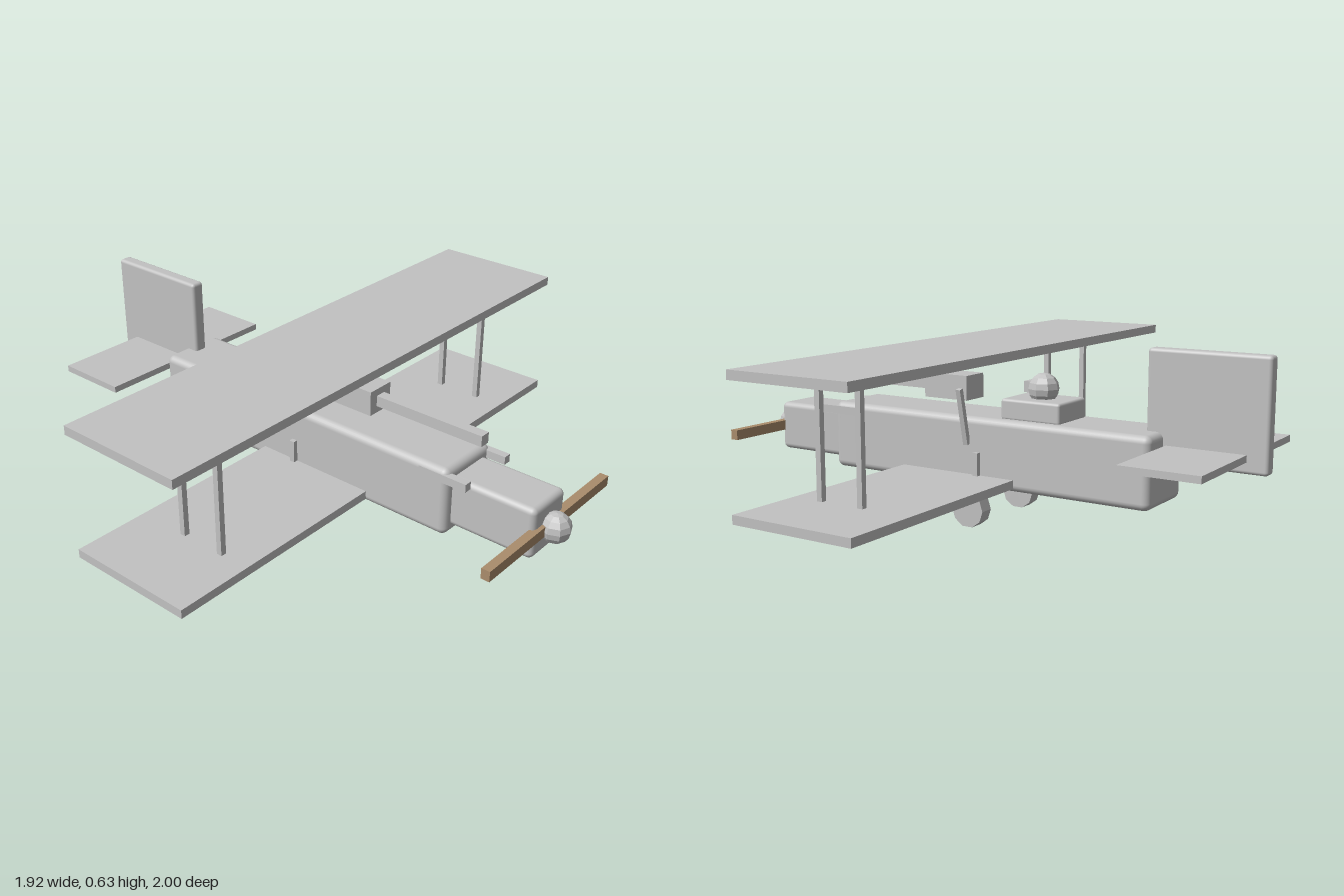
import * as THREE from 'three';
import { RoundedBoxGeometry } from 'three/addons/geometries/RoundedBoxGeometry.js';

export function createModel() {
  const group = new THREE.Group();
  const grey = new THREE.MeshStandardMaterial({ color: 0xc2c2c2 });
  grey.name = 'plain grey';
  const brown = new THREE.MeshStandardMaterial({ color: 0xaa8d6c });
  brown.name = 'wood brown';

  const add = (name, geometry, x, y, z, material = grey) => {
    const mesh = new THREE.Mesh(geometry, material);
    mesh.name = name;
    mesh.position.set(x, y, z);
    group.add(mesh);
    return mesh;
  };
  // Box from its lower and upper limits, with optional rounded edges
  const box = (name, [x0, x1], [y0, y1], [z0, z1], radius = 0, material = grey) => {
    const size = [x1 - x0, y1 - y0, z1 - z0];
    const geometry = radius
      ? new RoundedBoxGeometry(...size, 3, radius)
      : new THREE.BoxGeometry(...size);
    return add(name, geometry, (x0 + x1) / 2, (y0 + y1) / 2, (z0 + z1) / 2, material);
  };
  // Square upright bar centred on x and z
  const post = (name, x, z, y0, y1) =>
    box(name, [x - 0.01, x + 0.01], [y0, y1], [z - 0.01, z + 0.01]);
  // Faceted ball on the centre line
  const ball = (name, radius, y, z) => {
    const geometry = new THREE.SphereGeometry(radius, 8, 8).toNonIndexed();
    geometry.computeVertexNormals();
    return add(name, geometry, 0, y, z);
  };

  // Fuselage and engine
  box('fuselage', [-0.123, 0.123], [0.127, 0.37], [-0.653, 0.625], 0.025);
  box('engineCowl', [-0.09, 0.09], [0.157, 0.337], [0.58, 0.923], 0.02);
  box('propeller', [-0.345, 0.345], [0.23, 0.266], [0.907, 0.937], 0, brown);
  ball('spinner', 0.052, 0.248, 0.948);

  // Wings
  box('upperWing', [-0.96, 0.96], [0.575, 0.606], [-0.153, 0.306]);
  box('lowerWing', [-0.96, 0.96], [0.14, 0.17], [-0.153, 0.306]);

  // Tail
  box('tailFin', [-0.025, 0.025], [0.268, 0.636], [-1, -0.592], 0.012);
  box('tailplane', [-0.367, 0.367], [0.306, 0.329], [-0.931, -0.662]);

  // Cockpit and pilot
  box('cockpit', [-0.09, 0.09], [0.365, 0.438], [-0.31, -0.082], 0.01);
  ball('pilotHead', 0.054, 0.47, -0.198);
  box('goggles', [-0.03, 0.03], [0.457, 0.495], [-0.165, -0.138]);

  // Centre gun
  box('gunBody', [-0.052, 0.052], [0.41, 0.497], [0.083, 0.262]);
  box('gunBarrel', [-0.019, 0.019], [0.434, 0.472], [0.25, 0.675]);

  // Slanted lever beside the fuselage
  const lever = add('sideLever', new THREE.BoxGeometry(0.018, 0.2, 0.018), 0.147, 0.372, 0.033);
  lever.rotation.z = -0.22;

  // Mirrored parts
  const wheelShape = new THREE.CylinderGeometry(0.062, 0.062, 0.052, 10).toNonIndexed();
  wheelShape.computeVertexNormals();
  for (const s of [-1, 1]) {
    for (const z of [0.195, 0.033]) post('wingStrut', s * 0.688, z, 0.165, 0.58);
    box('noseGun', [s * 0.11 - 0.014, s * 0.11 + 0.014], [0.326, 0.354], [0.515, 0.695]);
    post('wheelLeg', s * 0.13, -0.01, 0.07, 0.25);
    add('wheel', wheelShape, s * 0.161, 0.062, -0.01).rotation.z = Math.PI / 2;
  }
  return group;
}
